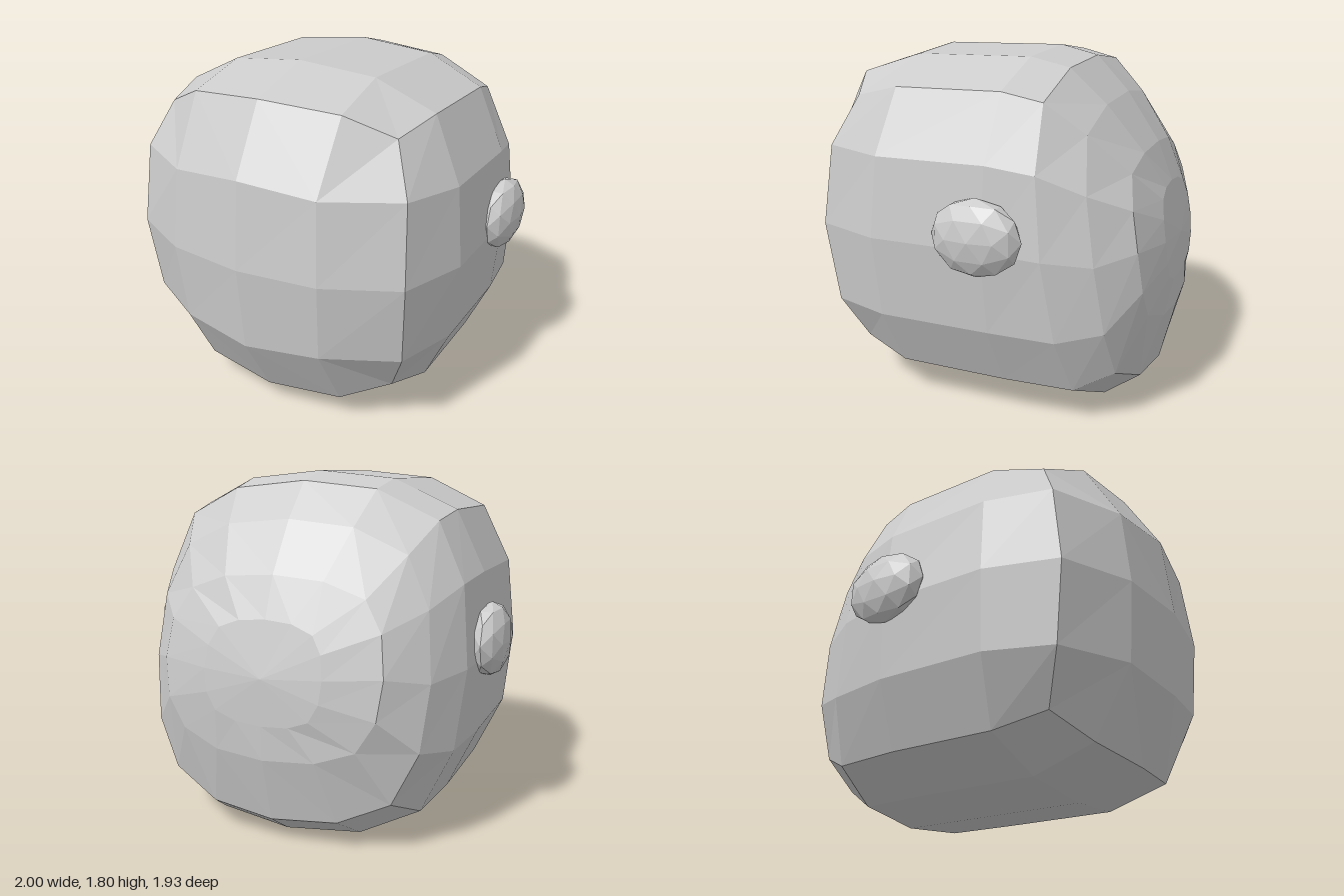
import * as THREE from 'three';

// One quadrant of the rounded-square section, mirrored into a 16-point ring (clockwise from the top)
const quarter = [[0, 1], [0.456, 0.956], [0.79, 0.8], [0.956, 0.445]];
const section = [];
for (let k = 0; k < 4; k++) {
  for (let [u, v] of quarter) {
    for (let n = 0; n < k; n++) [u, v] = [v, -u];
    section.push([u, v]);
  }
}
const soften = (a, q) => Math.sign(a) * Math.pow(Math.abs(a), q);

// Ring through a top and a bottom point, with its own depth at the sides;
// pull draws the diagonal corners towards the middle, q squares the section
function ring({ w, top, bottom, side, pull = 0, q = 1 }) {
  const [yT, zT] = top, [yB, zB] = bottom;
  return section.map(([a, b]) => {
    const u = soften(a, q), v = soften(b, q);
    const corner = (Math.min(Math.abs(a), Math.abs(b)) / 0.8) ** 2;
    const z = side + v * (zT - zB) / 2 + v * v * ((zT + zB) / 2 - side);
    return [w * u, (yT + yB) / 2 + v * (yT - yB) / 2, z * (1 - pull * corner)];
  });
}

// Square inner ring of the face grid: three neighbours share each corner
function innerRing() {
  return section.map(([u, v], i) => {
    if (i % 4 === 0) return [0.42 * u, 0.905 + 0.445 * v, u === 0 ? 0.92 : 0.91];
    return [0.4 * Math.sign(u), 0.905 + 0.41 * Math.sign(v), 0.87];
  });
}
const point = (y, z) => section.map(() => [0, y, z]);

// Skin a list of rings, leaving out collapsed triangles
function loft(rings) {
  const pos = [];
  const same = (p, q) => p.every((c, k) => Math.abs(c - q[k]) < 1e-6);
  const tri = (a, b, c) => {
    if (!same(a, b) && !same(b, c) && !same(a, c)) pos.push(...a, ...b, ...c);
  };
  for (let r = 0; r < rings.length - 1; r++) {
    for (let i = 0; i < 16; i++) {
      const j = (i + 1) % 16;
      const a = rings[r][i], b = rings[r][j], c = rings[r + 1][j], d = rings[r + 1][i];
      tri(a, b, d);
      tri(b, c, d);
    }
  }
  const geo = new THREE.BufferGeometry();
  geo.setAttribute('position', new THREE.Float32BufferAttribute(pos, 3));
  geo.computeVertexNormals();
  return geo;
}

export function createModel() {
  const group = new THREE.Group();
  const material = new THREE.MeshStandardMaterial({ color: 0xcccccc, flatShading: true });

  // Head: flat-ish face, straight middle, sloping rounded back
  const head = new THREE.Mesh(loft([
    point(0.905, 0.96),
    innerRing(),
    ring({ w: 0.78, top: [1.69, 0.73], bottom: [0.12, 0.73], side: 0.73, pull: 0.22, q: 0.8 }),
    ring({ w: 0.9, top: [1.8, 0.37], bottom: [0, 0.37], side: 0.37, pull: 0.16 }),
    ring({ w: 0.9, top: [1.8, -0.28], bottom: [0, -0.3], side: -0.22, pull: 0.05 }),
    ring({ w: 0.86, top: [1.75, -0.48], bottom: [0, -0.71], side: -0.5, pull: 0.06 }),
    ring({ w: 0.75, top: [1.57, -0.65], bottom: [0.12, -0.88], side: -0.72, pull: 0.05 }),
    ring({ w: 0.58, top: [1.32, -0.82], bottom: [0.45, -0.96], side: -0.88, pull: 0.03 }),
    ring({ w: 0.31, top: [1.12, -0.9], bottom: [0.62, -0.965], side: -0.95 }),
    point(0.85, -0.965),
  ]), material);
  head.name = 'head';
  group.add(head);

  // Ears: small faceted ellipsoids on both sides
  for (const s of [1, -1]) {
    const ear = new THREE.Mesh(new THREE.IcosahedronGeometry(1, 1), material);
    ear.name = s > 0 ? 'leftEar' : 'rightEar';
    ear.scale.set(0.1, 0.19, 0.23);
    ear.position.set(s * 0.9, 0.97, -0.2);
    group.add(ear);
  }
  return group;
}
